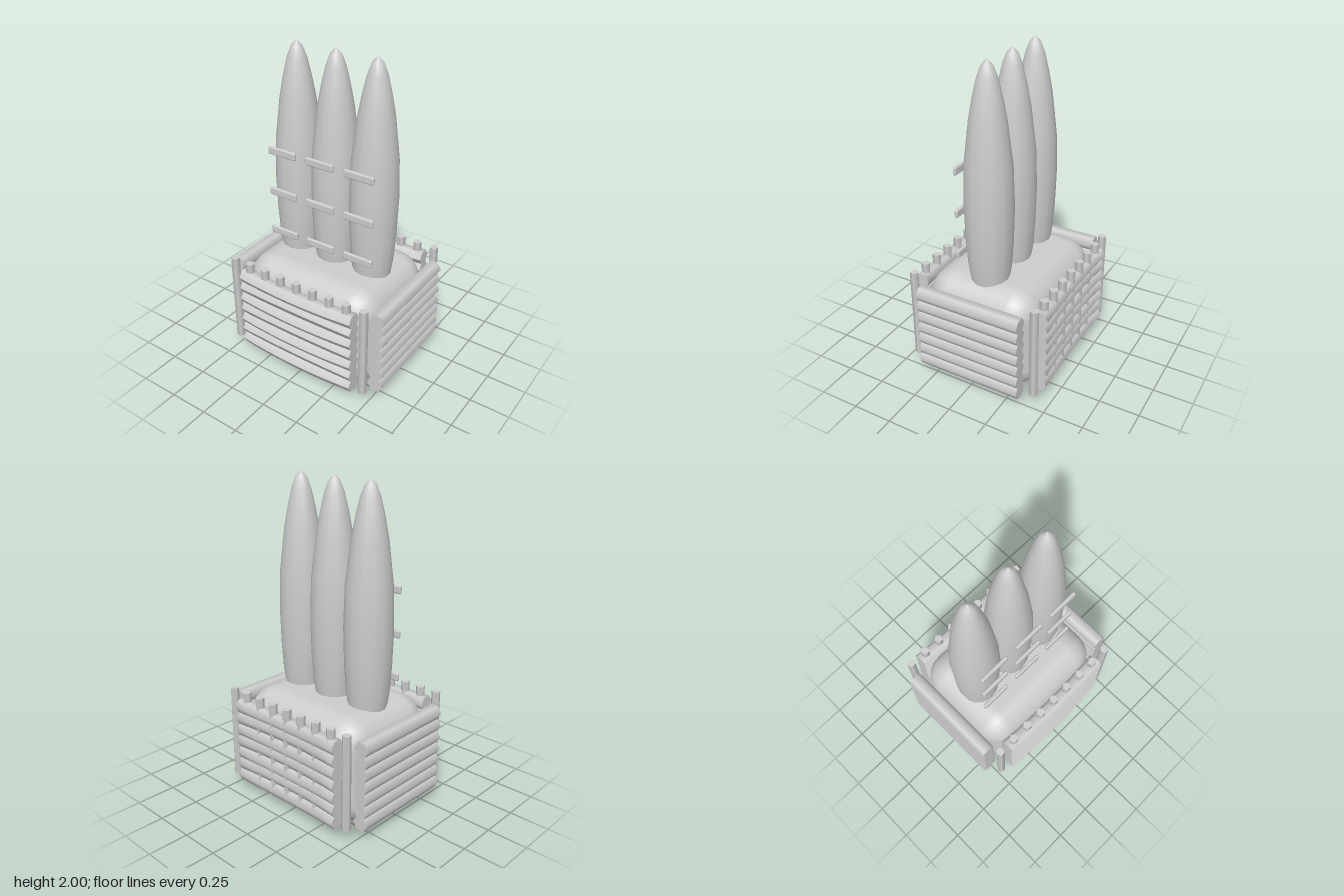
import * as THREE from 'three';
import { RoundedBoxGeometry } from 'three/addons/geometries/RoundedBoxGeometry.js';

const stone = new THREE.MeshStandardMaterial({ color: 0xcccccc });
stone.name = 'pale grey';

function add(parent, name, geometry, x = 0, y = 0, z = 0) {
  const mesh = new THREE.Mesh(geometry, stone);
  mesh.name = name;
  mesh.position.set(x, y, z);
  parent.add(mesh);
  return mesh;
}

// Six-sided log along x whose middle is bent by (dy, dz)
function bentLog(length, radius, dy, dz) {
  const geo = new THREE.CylinderGeometry(radius, radius, length, 6, 8);
  geo.rotateZ(Math.PI / 2);
  const p = geo.attributes.position;
  for (let i = 0; i < p.count; i++) {
    const t = p.getX(i) / (length / 2);
    const k = 1 - t * t;
    p.setY(i, p.getY(i) + dy * k);
    p.setZ(i, p.getZ(i) + dz * k);
  }
  geo.computeVertexNormals();
  return geo;
}

export function createModel() {
  const model = new THREE.Group();
  model.name = 'crateWithSpires';

  // Rounded block inside the fence
  add(model, 'innerBlock', new RoundedBoxGeometry(0.945, 0.685, 0.735, 3, 0.17), 0, 0.341, -0.005);

  // Three tapered spires, each with three rungs in front
  const profile = [[0, 0.55], [0.105, 0.55], [0.115, 0.65], [0.13, 0.75], [0.141, 0.92],
    [0.147, 1.15], [0.139, 1.4], [0.108, 1.66], [0.084, 1.79], [0.058, 1.9], [0.034, 1.965], [0, 2]]
    .map(([r, y]) => new THREE.Vector2(r, y));
  const spireGeo = new THREE.LatheGeometry(profile, 14);
  const rungGeo = new RoundedBoxGeometry(0.2, 0.05, 0.022, 2, 0.01);
  for (const x of [-0.27, 0, 0.27]) {
    add(model, 'spire', spireGeo, x, 0, -0.01);
    for (const y of [0.82, 1.09, 1.36]) add(model, 'rung', rungGeo, x, y, 0.155);
  }

  // Fence: seven stacked logs on each of the four sides
  const sideGeo = new THREE.CylinderGeometry(0.05, 0.05, 0.68, 6);
  sideGeo.rotateY(Math.PI / 2);
  sideGeo.rotateX(Math.PI / 2);
  const logGeos = [-0.008, 0.008].map((dy) => bentLog(0.82, 0.05, dy, 0.015));
  for (let i = 0; i < 7; i++) {
    const y = 0.113 + i * 0.0785;
    for (const s of [-1, 1]) add(model, 'sideLog', sideGeo, s * 0.52, y, -0.01);
    add(model, 'frontLog', logGeos[i % 2], 0, y, 0.396);
    add(model, 'backLog', logGeos[i % 2], 0, y, -0.419);
  }

  // Five-sided stakes through the front and back logs, corner posts at the ends
  const stakeGeo = new THREE.CylinderGeometry(0.028, 0.028, 0.598, 5);
  stakeGeo.rotateY(Math.PI);
  for (let i = -4; i <= 4; i++) {
    const name = Math.abs(i) === 4 ? 'cornerPost' : 'stake';
    for (const z of [0.398, -0.418]) add(model, name, stakeGeo, i * 0.119, 0.386, z);
  }
  return model;
}
